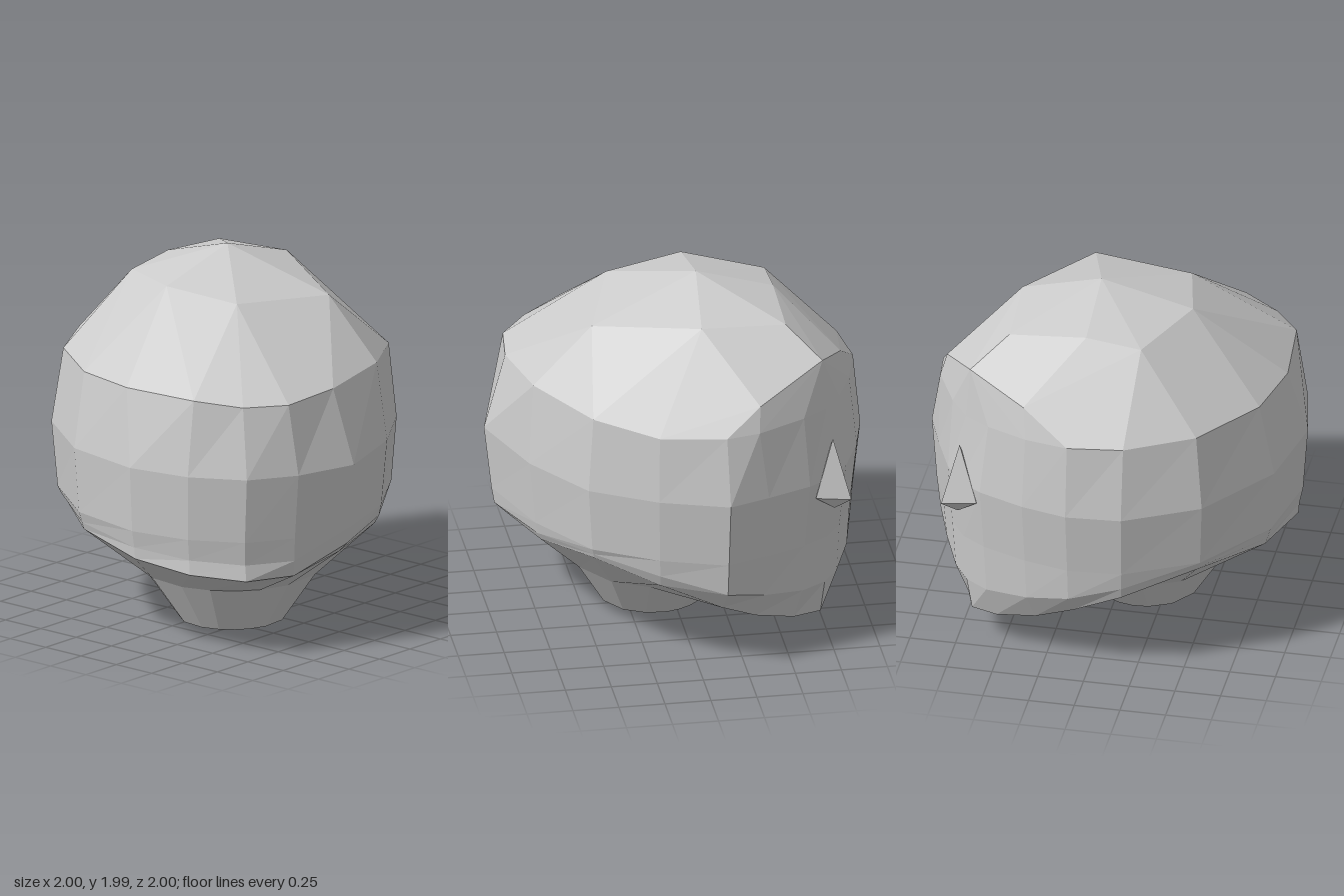
import * as THREE from 'three';
import { ConvexGeometry } from 'three/addons/geometries/ConvexGeometry.js';

// Columns around the head, starting at the middle of the face, which is turned to (+x, -z)
const WIDEST = [ // x, z at ear height
  [0.73, -0.75], [0.82, -0.61], [0.92, -0.37], [1, -0.15], [0.88, 0.22], [0.68, 0.57],
  [0.3, 0.83], [-0.17, 1], [-0.52, 0.91], [-0.77, 0.76], [-0.93, 0.48], [-1, 0.13],
  [-0.91, -0.34], [-0.6, -0.77], [-0.2, -0.98], [0.1, -1], [0.35, -0.94], [0.6, -0.84],
];
const BROW = [ // x, y, z along the lower edge of the crown
  [0.7, 1.42, -0.72], [0.8, 1.42, -0.58], [0.92, 1.41, -0.32], [0.94, 1.4, -0.14], [0.84, 1.38, 0.21], [0.65, 1.43, 0.54],
  [0.25, 1.46, 0.8], [-0.2, 1.43, 0.88], [-0.52, 1.4, 0.84], [-0.72, 1.4, 0.69], [-0.87, 1.43, 0.47], [-0.91, 1.43, 0.03],
  [-0.83, 1.43, -0.34], [-0.56, 1.43, -0.72], [-0.2, 1.43, -0.92], [0.1, 1.43, -0.96], [0.34, 1.42, -0.9], [0.56, 1.42, -0.81],
];
const JAW = [ // height and inset of the jaw line
  [0.2, 0.92], [0.2, 0.88], [0.26, 0.86], [0.35, 0.85], [0.49, 0.92], [0.6, 0.94],
  [0.55, 0.92], [0.51, 0.88], [0.44, 0.93], [0.44, 0.96], [0.46, 0.96], [0.5, 0.95],
  [0.56, 0.94], [0.6, 0.93], [0.49, 0.92], [0.35, 0.85], [0.26, 0.86], [0.2, 0.88],
];

// Skin between closed rings, listed from top to bottom
function loft(rings, closeBottom) {
  const pos = [];
  const n = rings[0].length;
  for (let r = 0; r < rings.length - 1; r++) {
    for (let i = 0; i < n; i++) {
      const j = (i + 1) % n;
      const up = rings[r], low = rings[r + 1];
      pos.push(...low[i], ...up[i], ...low[j], ...low[j], ...up[i], ...up[j]);
    }
  }
  if (closeBottom) {
    const last = rings[rings.length - 1];
    for (let i = 1; i < n - 1; i++) pos.push(...last[0], ...last[i], ...last[i + 1]);
  }
  const g = new THREE.BufferGeometry();
  g.setAttribute('position', new THREE.Float32BufferAttribute(pos, 3));
  g.computeVertexNormals();
  return g;
}

const hull = (pts) => new ConvexGeometry(pts.map((p) => new THREE.Vector3(...p)));

export function createModel() {
  const group = new THREE.Group();
  const clay = new THREE.MeshStandardMaterial({ color: 0xcccccc, flatShading: true });
  clay.name = 'grey clay';
  const add = (name, geometry) => {
    const mesh = new THREE.Mesh(geometry, clay);
    mesh.name = name;
    group.add(mesh);
  };

  // Faceted crown
  add('crown', hull([
    ...BROW,
    [0.68, 1.7, -0.7], [0.88, 1.55, -0.33], [0.36, 1.59, -0.85],
    [0.52, 1.86, -0.07], [0.23, 1.78, 0.48], [-0.33, 1.82, 0.31], [-0.42, 1.86, -0.11],
    [-0.22, 1.83, -0.53], [0.08, 1.87, -0.53], [0.5, 1.84, -0.53], [0.08, 1.99, -0.11],
  ]));

  // Sides, back, face and jaw
  const ear = WIDEST.map(([x, z]) => [x, 1.02, z]);
  const cheek = WIDEST.map(([x, z]) => [x * 0.975, 0.66, z * 0.96]);
  const lowCheek = WIDEST.map(([x, z], i) => [x * 0.955, 0.66 + (JAW[i][0] - 0.66) * 0.6, z * 0.945]);
  const jaw = WIDEST.map(([x, z], i) => [x * JAW[i][1], JAW[i][0], z * JAW[i][1]]);
  add('head', loft([BROW, ear, cheek, lowCheek, jaw], false));

  // Underside of the skull running into the neck
  const neckRing = (cx, cz, r, y) => WIDEST.map(([x, z]) => {
    const a = Math.atan2(z, x);
    return [cx + r * Math.cos(a), y, cz + r * Math.sin(a)];
  });
  add('neck', loft([jaw, neckRing(-0.1, 0.07, 0.48, 0.26), neckRing(-0.13, 0.1, 0.29, 0)], true));

  // Pointed nose: forward, side and height on the turned face
  const onFace = (f, s, y) => [0.7 * f + 0.72 * s, y, -0.72 * f + 0.7 * s];
  add('nose', hull([
    onFace(1.16, 0, 0.92), onFace(1.04, 0, 1.25), onFace(1.05, 0, 0.84),
    onFace(1.02, 0.13, 0.94), onFace(1.02, -0.13, 0.94), onFace(0.95, 0, 1),
  ]));
  return group;
}
